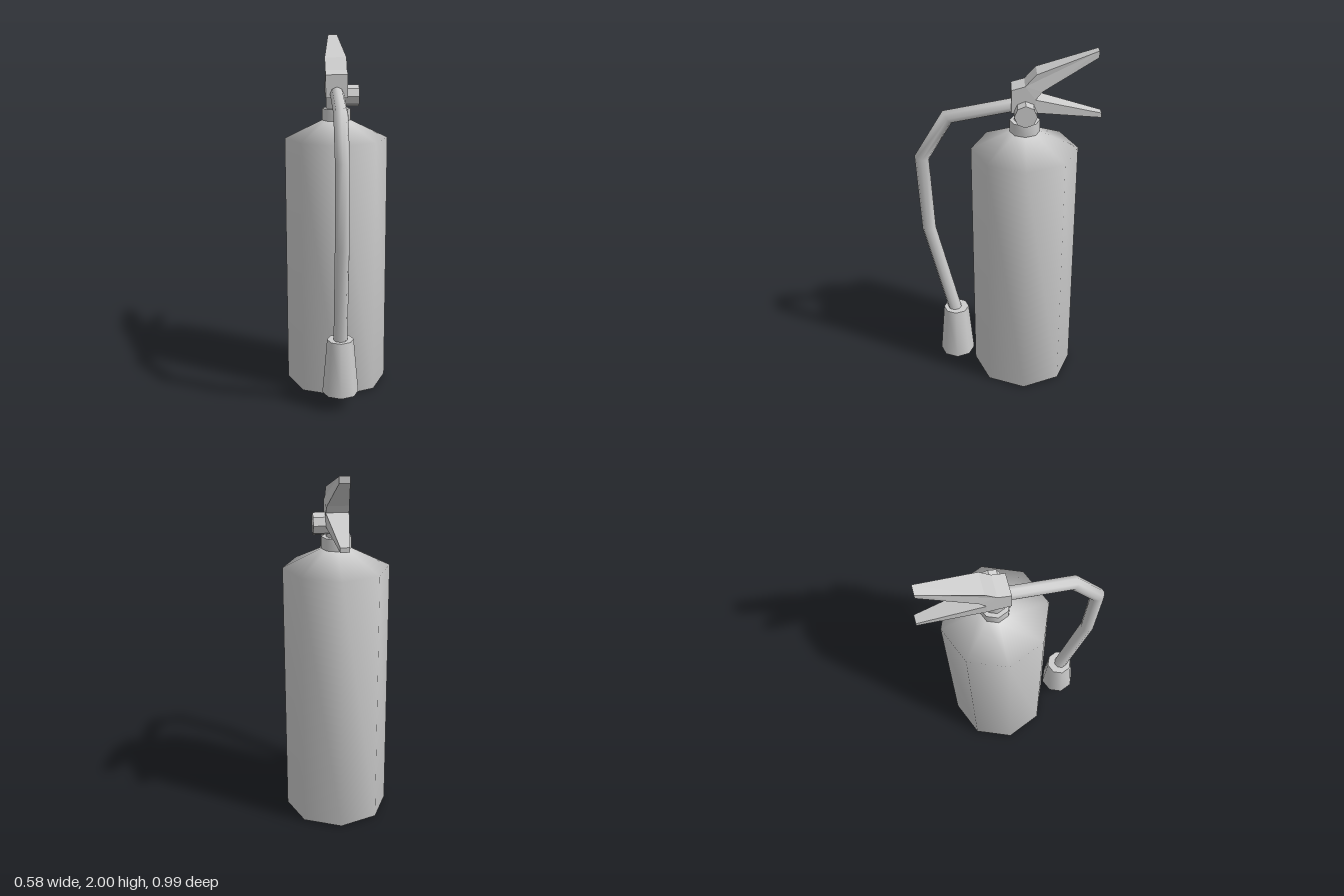
import * as THREE from 'three';
import { mergeVertices } from 'three/addons/utils/BufferGeometryUtils.js';

const TANK_Z = -0.093;

// Welds all vertices and averages normals
function smooth(geometry) {
  geometry.deleteAttribute('uv');
  geometry.deleteAttribute('normal');
  const welded = mergeVertices(geometry, 1e-4);
  welded.computeVertexNormals();
  return welded;
}

// Gives every face its own normal
function faceted(geometry) {
  const flat = geometry.index ? geometry.toNonIndexed() : geometry;
  flat.computeVertexNormals();
  return flat;
}

// Eight-sided turned part from [radius, y] points, bottom to top
function turned(points) {
  return new THREE.LatheGeometry(points.map(([r, y]) => new THREE.Vector2(r, y)), 8);
}

// Tube with mitred corners along a path of [z, y] points
function mitredTube(path, radius) {
  const last = path.length - 1;
  const normals = path.slice(1).map(([z, y], i) => {
    const t = new THREE.Vector2(z - path[i][0], y - path[i][1]).normalize();
    return new THREE.Vector2(-t.y, t.x);
  });
  const geometry = new THREE.CylinderGeometry(1, 1, 1, 8, last, true);
  const p = geometry.attributes.position;
  for (let i = 0; i < p.count; i++) {
    const row = Math.round((0.5 - p.getY(i)) * last);
    const a = normals[Math.max(row - 1, 0)];
    const b = normals[Math.min(row, last - 1)];
    const n = a.clone().add(b).normalize();
    n.multiplyScalar(radius * p.getZ(i) / n.dot(a));
    p.setXYZ(i, p.getX(i) * radius, path[row][1] + n.y, path[row][0] + n.x);
  }
  return smooth(geometry);
}

export function createModel() {
  const group = new THREE.Group();
  const grey = new THREE.MeshStandardMaterial({ color: 0xcccccc });
  const add = (name, geometry, x = 0, y = 0, z = 0) => {
    const mesh = new THREE.Mesh(geometry, grey);
    mesh.name = name;
    mesh.position.set(x, y, z);
    group.add(mesh);
    return mesh;
  };

  // Tank with sloping shoulder
  add('tank', smooth(turned([[0, 0.003], [0.288, 0.01], [0.288, 1.45], [0.08, 1.55]])), 0, 0, TANK_Z);

  // Collar and valve neck
  add('collar', smooth(turned([[0.08, 1.55], [0.08, 1.615]])), 0, 0, TANK_Z);
  add('collarTop', faceted(turned([[0.08, 1.615], [0, 1.615]])), 0, 0, TANK_Z);
  add('neck', smooth(turned([[0.056, 1.61], [0.056, 1.72]])), 0, 0, TANK_Z);

  // Valve block with carrying lever and squeeze lever, as one side outline [z, y]
  const outline = [
    [-0.02, 1.68], [-0.145, 1.68], [-0.493, 1.635], [-0.493, 1.66], [-0.145, 1.752],
    [-0.18, 1.795], [-0.465, 1.965], [-0.465, 2.0], [-0.15, 1.89], [-0.09, 1.825], [-0.02, 1.805],
  ];
  const shape = new THREE.Shape(outline.map(([z, y]) => new THREE.Vector2(-z, y)));
  const levers = new THREE.ExtrudeGeometry(shape, { depth: 2, bevelEnabled: false });
  levers.translate(0, 0, -1).rotateY(Math.PI / 2);
  const p = levers.attributes.position;
  for (let i = 0; i < p.count; i++) {
    // Levers narrow toward their tips
    const half = 0.061 - Math.max(0, -0.15 - p.getZ(i)) * 0.108;
    p.setX(i, p.getX(i) * half);
  }
  add('valveAndLevers', faceted(levers));

  // Gauge on the left side of the valve
  const gauge = new THREE.CylinderGeometry(0.06, 0.06, 0.085, 8).rotateZ(Math.PI / 2);
  add('gauge', faceted(gauge), 0.083, 1.685, TANK_Z);

  // Hose from the valve down to the nozzle
  add('hose', mitredTube([
    [-0.05, 1.706], [0.315, 1.637], [0.46, 1.4], [0.44, 0.955], [0.305, 0.37],
  ], 0.038));

  // Flared nozzle
  add('nozzle', smooth(turned([[0.1, 0.09], [0.073, 0.4]])), 0, 0, 0.303);
  add('nozzleTop', faceted(turned([[0.073, 0.4], [0, 0.4]])), 0, 0, 0.303);
  add('nozzleBase', faceted(turned([[0, 0.09], [0.1, 0.09]])), 0, 0, 0.303);

  return group;
}
